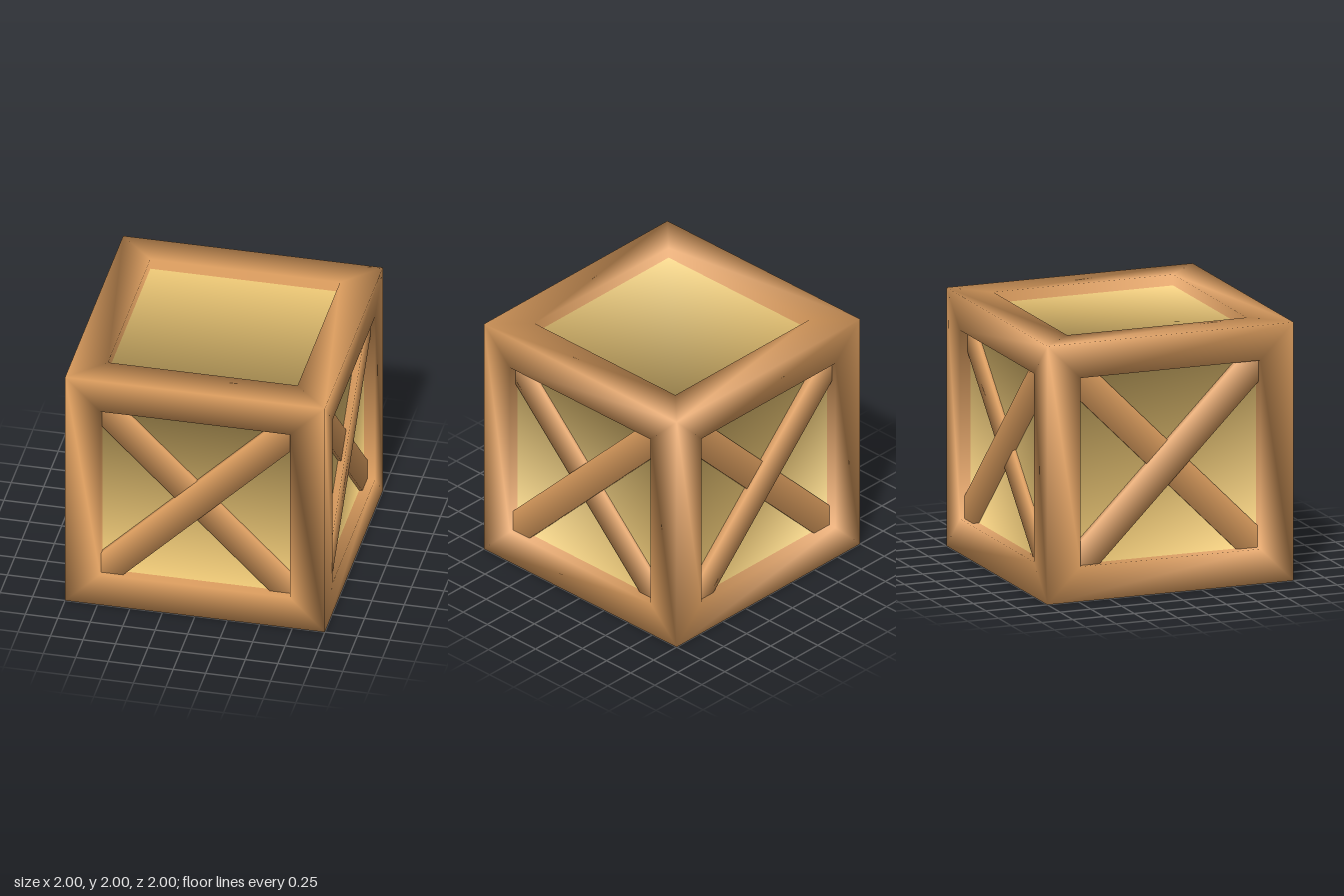
import * as THREE from 'three';

const HALF = 1, HOLE = 0.73, RECESS = 0.085;
const wood = new THREE.MeshStandardMaterial({ color: 0xe0a060 });
const board = new THREE.MeshStandardMaterial({ color: 0xf2cc78 });
const CORNERS = [[-1, -1], [1, -1], [1, 1], [-1, 1]];

// Skins square loops { size, z, lean } facing +z; lean tilts the corner normals outwards or inwards.
function skinLoops(loops, cap = false) {
  const position = [], normal = [], index = [];
  for (const { size, z, lean } of loops) {
    for (const [sx, sy] of CORNERS) {
      position.push(sx * size, sy * size, z);
      const n = new THREE.Vector3(sx * lean, sy * lean, 1).normalize();
      normal.push(n.x, n.y, n.z);
    }
  }
  for (let l = 0; l < loops.length - 1; l++) {
    for (let i = 0; i < 4; i++) {
      const j = (i + 1) % 4, a = l * 4, b = a + 4;
      index.push(a + i, a + j, b + j, a + i, b + j, b + i);
    }
  }
  if (cap) index.push(0, 1, 2, 0, 2, 3);
  const geometry = new THREE.BufferGeometry();
  geometry.setAttribute('position', new THREE.Float32BufferAttribute(position, 3));
  geometry.setAttribute('normal', new THREE.Float32BufferAttribute(normal, 3));
  geometry.setIndex(index);
  return geometry;
}

// Flat bar with normals rounded across its width
function braceGeometry() {
  const geometry = new THREE.BoxGeometry(2.32, 0.24, 0.1);
  const p = geometry.attributes.position, n = geometry.attributes.normal;
  for (let i = 0; i < p.count; i++) {
    n.setXYZ(i, 0, Math.sign(p.getY(i)) * Math.SQRT1_2, Math.sign(p.getZ(i)) * Math.SQRT1_2);
  }
  return geometry;
}

const frameGeometry = skinLoops([
  { size: HALF, z: HALF, lean: 1 },
  { size: HOLE, z: HALF, lean: -1 },
  { size: HOLE, z: HALF - RECESS, lean: -1 },
]);
const panelGeometry = skinLoops([{ size: HOLE, z: HALF - RECESS, lean: -1 }], true);
const barGeometry = braceGeometry();

function addMesh(parent, name, geometry, material) {
  const mesh = new THREE.Mesh(geometry, material);
  mesh.name = name;
  parent.add(mesh);
  return mesh;
}

// One side of the crate, facing +z
function createSide(name, braced) {
  const side = new THREE.Group();
  side.name = name;
  addMesh(side, 'frame', frameGeometry, wood);
  addMesh(side, 'panel', panelGeometry, board);
  if (braced) {
    // Crossed braces, the rising one in front; their ends run into the frame
    const front = addMesh(side, 'frontBrace', barGeometry, wood);
    front.position.z = 0.915;
    front.rotation.z = Math.PI / 4;
    const rear = addMesh(side, 'rearBrace', barGeometry, wood);
    rear.position.z = 0.89;
    rear.rotation.z = -Math.PI / 4;
  }
  return side;
}

export function createModel() {
  const crate = new THREE.Group();
  crate.name = 'crate';
  // Four braced walls
  ['frontSide', 'leftSide', 'backSide', 'rightSide'].forEach((name, i) => {
    const side = createSide(name, true);
    side.rotation.y = i * Math.PI / 2;
    side.position.y = HALF;
    crate.add(side);
  });
  // Plain lid and floor
  for (const [name, turn] of [['lid', -1], ['floor', 1]]) {
    const side = createSide(name, false);
    side.rotation.x = turn * Math.PI / 2;
    side.position.y = HALF;
    crate.add(side);
  }
  return crate;
}
